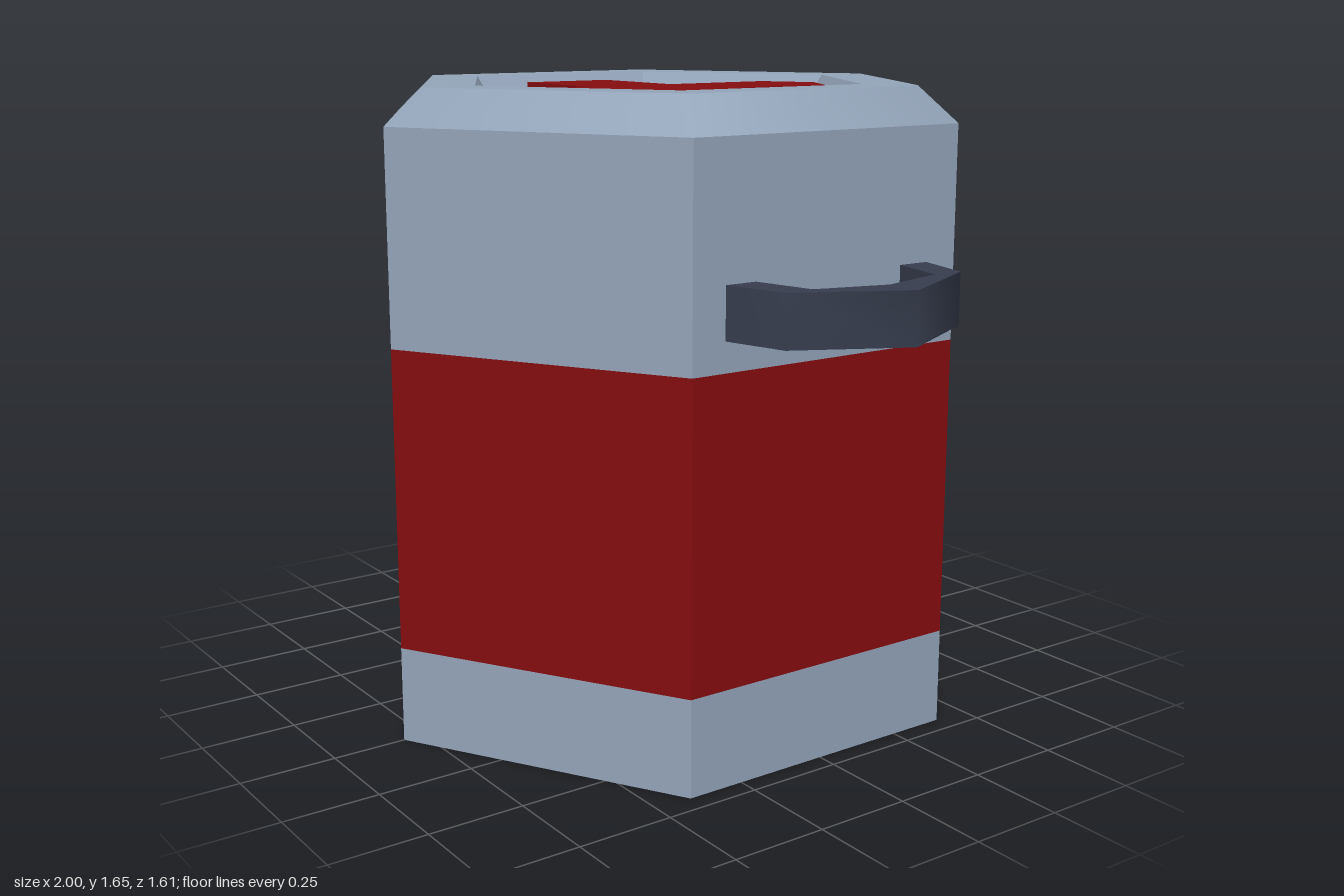
import * as THREE from 'three';
import { toCreasedNormals } from 'three/addons/utils/BufferGeometryUtils.js';

const grey = new THREE.MeshStandardMaterial({ color: 0x94a5ba });
grey.name = 'steel grey';
const red = new THREE.MeshStandardMaterial({ color: 0x860d10 });
red.name = 'deep red';
const dark = new THREE.MeshStandardMaterial({ color: 0x373d4e });
dark.name = 'dark slate';

const R = 0.806; // hexagon corner radius, corners point to +z and -z

export function createModel() {
  const group = new THREE.Group();

  const add = (name, geometry, material, parent = group) => {
    const mesh = new THREE.Mesh(geometry, material);
    mesh.name = name;
    parent.add(mesh);
    return mesh;
  };

  // Faceted six-sided surface from a [radius, y] profile
  const hexSurface = (profile) => {
    const geometry = new THREE.LatheGeometry(profile.map(([r, y]) => new THREE.Vector2(r, y)), 6).toNonIndexed();
    geometry.computeVertexNormals();
    return geometry;
  };

  // Flat outline in (x, z), extruded upward from y0 to y1
  const plate = (points, y0, y1) => {
    const shape = new THREE.Shape(points.map(([x, z]) => new THREE.Vector2(x, -z)));
    const geometry = new THREE.ExtrudeGeometry(shape, { depth: y1 - y0, bevelEnabled: false });
    return geometry.rotateX(-Math.PI / 2).translate(0, y0, 0);
  };

  // Canister body in three bands
  add('bodyBase', hexSurface([[0, 0], [R, 0], [R, 0.25]]), grey);
  add('bodyBand', hexSurface([[R, 0.25], [R, 1.025]]), red);
  add('bodyTop', hexSurface([[R, 1.025], [R, 1.565]]), grey);

  // Lid: softly shaded bevel, flat rim, sloping recess wall and dark floor
  add('lidBevel', new THREE.CylinderGeometry(0.7, R, 0.09, 6, 1, true).translate(0, 1.61, 0), grey);
  add('lidRim', hexSurface([[0.7, 1.655], [0.555, 1.655], [0.515, 1.595]]), grey);
  add('lidFloor', hexSurface([[0.515, 1.595], [0, 1.595]]), dark);

  // Cross on the lid, its long arms pointed to follow the hexagon
  const quarter = [[0.457, 0], [0.457, 0.132], [0.137, 0.132], [0.137, 0.45], [0, 0.528]];
  const half = [...quarter, ...quarter.slice(1, -1).reverse().map(([x, z]) => [-x, z])];
  const outline = [...half.slice(1), ...half.slice(1).map(([x, z]) => [-x, -z])];
  add('lidCross', plate(outline, 1.59, 1.635), red);

  // Angular side handles, ends sunk into the body
  const outer = [[0.66, 0.32], [0.86, 0.267], [1, 0]];
  const inner = [[0.905, 0], [0.855, 0.187], [0.66, 0.232]];
  const mirrorZ = (points) => points.map(([x, z]) => [x, -z]).reverse();
  const handle = [
    ...outer, ...mirrorZ(outer).slice(1),
    ...mirrorZ(inner), ...inner.slice(1),
  ];
  for (const side of [1, -1]) {
    const geometry = toCreasedNormals(plate(handle, 1.1, 1.23), 1);
    const mesh = add(side > 0 ? 'leftHandle' : 'rightHandle', geometry, dark);
    if (side < 0) mesh.rotation.y = Math.PI;
  }

  return group;
}
